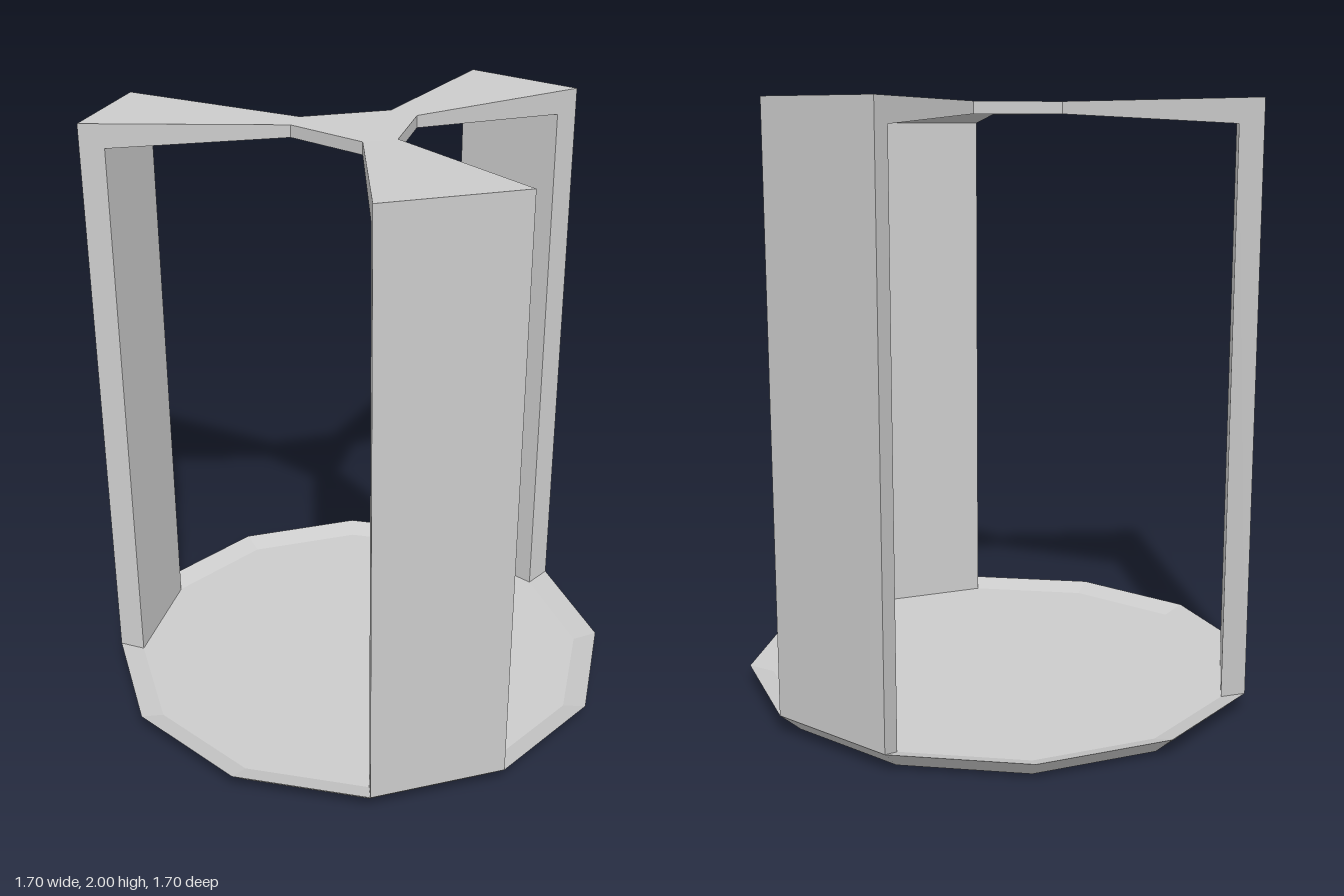
import * as THREE from 'three';

const RIM = 0.065, FLOOR = 0.04;      // base rim and dished floor heights
const HUB_TOP = 1.99, HUB_BOTTOM = 1.95;
const HUB_R = 0.21, HUB_HALF = 0.056; // distance and half width where an arm meets the hub
const OUTER = 0.85, INNER = 0.773;    // distance of a pillar's outer and inner face
const OUTER_HALF = OUTER * Math.tan(Math.PI / 12);

const material = new THREE.MeshStandardMaterial({ color: 0xcccccc, flatShading: true });

function addMesh(parent, name, geometry) {
  const flat = geometry.index ? geometry.toNonIndexed() : geometry;
  flat.computeVertexNormals();
  const mesh = new THREE.Mesh(flat, material);
  mesh.name = name;
  parent.add(mesh);
  return mesh;
}

// Twelve-sided dish with a bevelled underside
function baseGeometry() {
  const toRadius = 1 / Math.cos(Math.PI / 12);
  const profile = [[0, 0], [0.78, 0], [OUTER, RIM], [INNER, FLOOR], [0, FLOOR]]
    .map(([r, y]) => new THREE.Vector2(r * toRadius, y));
  return new THREE.LatheGeometry(profile, 12, Math.PI / 12);
}

// Pillar and roof arm as one side profile, its width tapering toward the hub
function pillarGeometry() {
  const profile = new THREE.Shape([
    [OUTER, RIM], [OUTER, 2], [HUB_R, HUB_TOP],
    [HUB_R, HUB_BOTTOM], [INNER, 1.92], [INNER, FLOOR],
  ].map(([r, y]) => new THREE.Vector2(r, y)));
  const geometry = new THREE.ExtrudeGeometry(profile, { depth: 2, bevelEnabled: false });
  const p = geometry.attributes.position;
  for (let i = 0; i < p.count; i++) {
    const r = p.getX(i), side = p.getZ(i) - 1;
    const half = THREE.MathUtils.mapLinear(r, HUB_R, OUTER, HUB_HALF, OUTER_HALF);
    p.setXYZ(i, side * half, p.getY(i), -r);
  }
  return geometry;
}

// Six-cornered plate joining the three arms
function hubGeometry() {
  const radius = Math.hypot(HUB_R, HUB_HALF), spread = Math.atan2(HUB_HALF, HUB_R);
  const corners = [];
  for (let k = 0; k < 3; k++) {
    for (const s of [-1, 1]) {
      const a = Math.PI / 2 + k * Math.PI * 2 / 3 + s * spread;
      corners.push(new THREE.Vector2(Math.cos(a) * radius, Math.sin(a) * radius));
    }
  }
  const geometry = new THREE.ExtrudeGeometry(new THREE.Shape(corners),
    { depth: HUB_TOP - HUB_BOTTOM, bevelEnabled: false });
  return geometry.rotateX(-Math.PI / 2).translate(0, HUB_BOTTOM, 0);
}

export function createModel() {
  const model = new THREE.Group();
  model.name = 'openPavilion';
  addMesh(model, 'base', baseGeometry());
  addMesh(model, 'roofHub', hubGeometry());
  ['backPillar', 'rightPillar', 'leftPillar'].forEach((name, k) => {
    addMesh(model, name, pillarGeometry()).rotation.y = k * Math.PI * 2 / 3;
  });
  return model;
}
